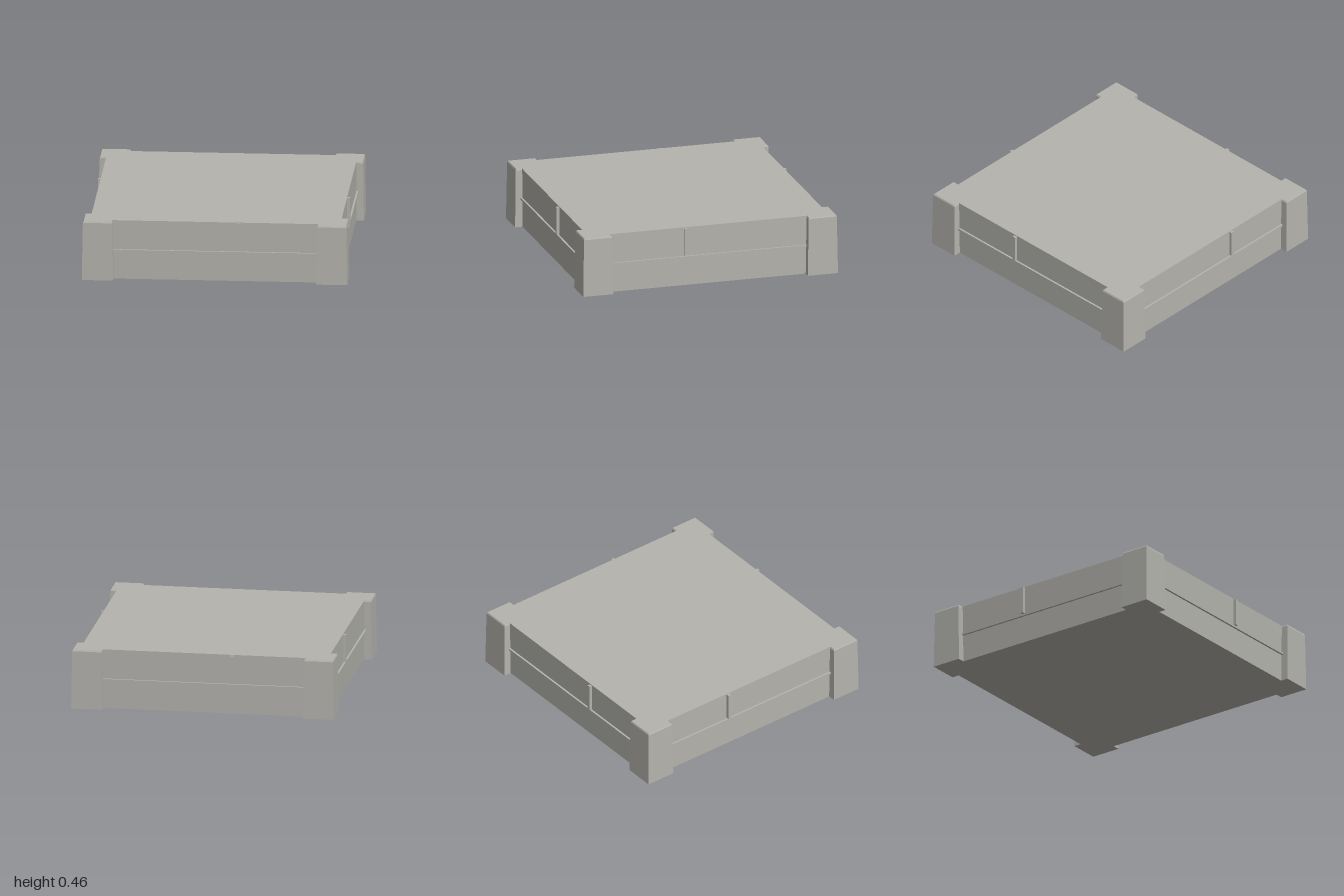
import * as THREE from 'three';

const H = 0.456;      // overall height
const FACE = 0.942;   // distance of the wall faces from the centre

export function createModel() {
  const stone = new THREE.MeshStandardMaterial({ color: 0xb4b3ad });
  stone.name = 'warm grey stone';
  const model = new THREE.Group();
  model.name = 'stoneBlock';

  const add = (parent, name, geometry, x, y, z) => {
    const mesh = new THREE.Mesh(geometry, stone);
    mesh.name = name;
    mesh.position.set(x, y, z);
    parent.add(mesh);
    return mesh;
  };

  // Solid core
  add(model, 'core', new THREE.BoxGeometry(FACE * 2, H, FACE * 2), 0, H / 2, 0);

  // Corner blocks: tapered square pillars with a small bevel at the top
  const levels = [[0, 0.118], [H - 0.011, 0.111], [H, 0.106]];
  const box = new THREE.BoxGeometry(2, 2, 2, 1, 2, 1);
  const pos = box.attributes.position;
  for (let i = 0; i < pos.count; i++) {
    const [y, half] = levels[Math.round(pos.getY(i)) + 1];
    pos.setXYZ(i, pos.getX(i) * half, y, pos.getZ(i) * half);
  }
  const cornerGeometry = box.toNonIndexed();
  cornerGeometry.computeVertexNormals();
  for (const sx of [-1, 1]) {
    for (const sz of [-1, 1]) {
      add(model, 'cornerBlock', cornerGeometry, sx * 0.882, 0, sz * 0.882);
    }
  }

  // Raised joints on each wall: one long ledge and one upright rib above it
  const ledge = new THREE.BoxGeometry(1.54, 0.016, 0.03);
  const rib = new THREE.BoxGeometry(0.026, 0.212, 0.04);
  const sides = [
    ['front', 0, 0.18],
    ['left', Math.PI / 2, -0.18],
    ['back', Math.PI, 0.22],
    ['right', -Math.PI / 2, -0.2],
  ];
  for (const [name, angle, ribX] of sides) {
    const wall = new THREE.Group();
    wall.name = name + 'WallJoints';
    wall.rotation.y = angle;
    add(wall, 'ledge', ledge, 0, 0.222, FACE);
    add(wall, 'rib', rib, ribX, 0.344, FACE + 0.002);
    model.add(wall);
  }
  return model;
}
